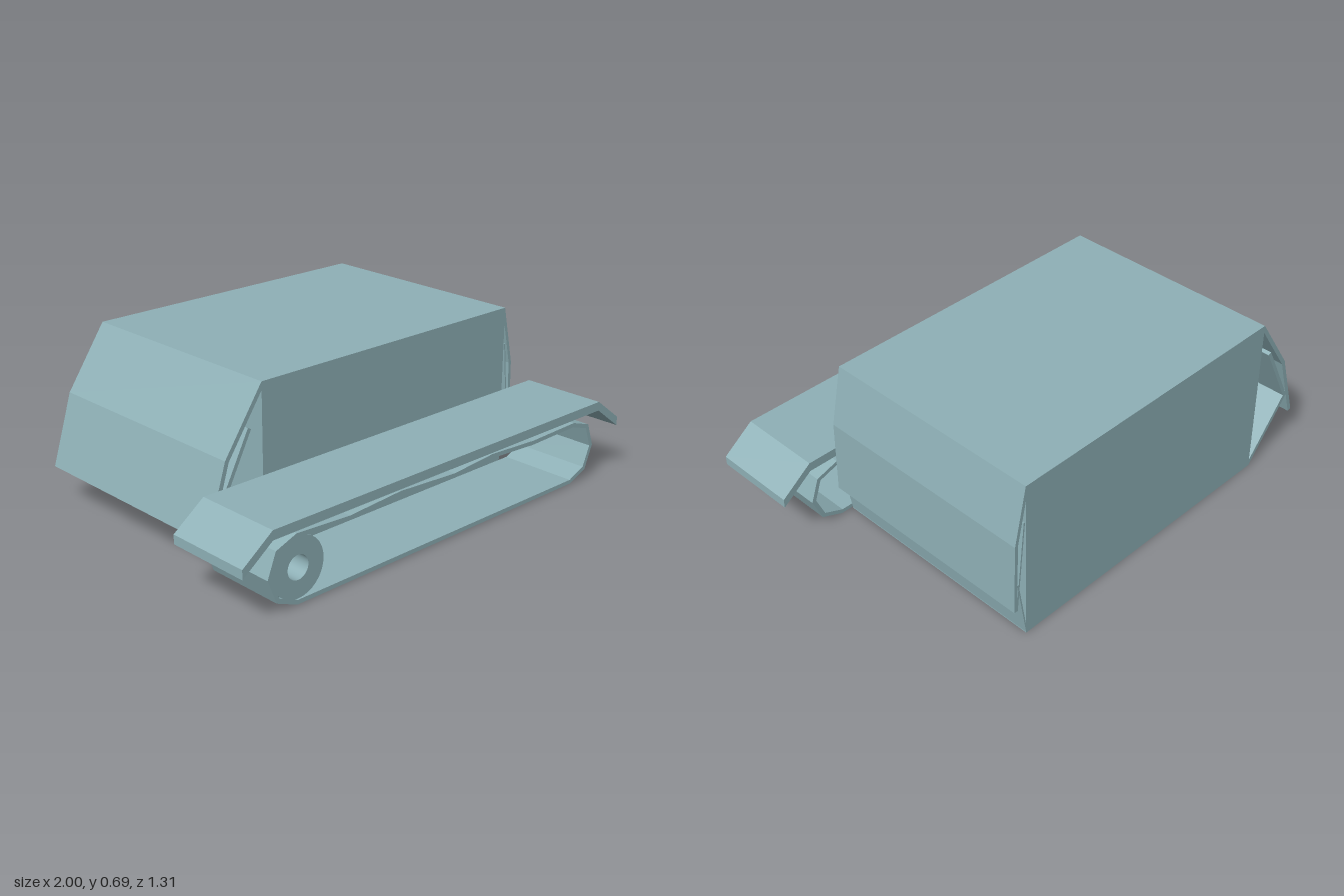
import * as THREE from 'three';
import { toCreasedNormals } from 'three/addons/utils/BufferGeometryUtils.js';

const HULL = [-0.655, 0.295]; // back and front of the hull
const TRACK = [0.297, 0.63];

// Mitred offset of a polyline; positive distance moves to its left-hand side.
function offset(points, d, closed) {
  const n = points.length;
  const normal = (a, b) => new THREE.Vector2(a.y - b.y, b.x - a.x).normalize();
  return points.map((p, i) => {
    const prev = closed || i > 0 ? normal(points[(i + n - 1) % n], p) : null;
    const next = closed || i < n - 1 ? normal(p, points[(i + 1) % n]) : null;
    const a = prev || next, b = next || prev;
    const m = a.clone().add(b).normalize();
    return p.clone().addScaledVector(m, d / m.dot(a));
  });
}

export function createModel() {
  const group = new THREE.Group();
  const material = new THREE.MeshStandardMaterial({ color: 0x8eb0b6, flatShading: false });

  function add(name, geometry) {
    const mesh = new THREE.Mesh(geometry, material);
    mesh.name = name;
    group.add(mesh);
  }
  const extrude = (shape, [z0, z1], curveSegments = 12) =>
    new THREE.ExtrudeGeometry(shape, { depth: z1 - z0, bevelEnabled: false, curveSegments })
      .translate(0, 0, z0);
  const vectors = (list) => list.map(([x, y]) => new THREE.Vector2(x, y));

  // Folded sheet along an open side profile
  function sheet(name, list, thickness, range) {
    const line = vectors(list);
    const shape = new THREE.Shape([...line, ...offset(line, thickness).reverse()]);
    add(name, extrude(shape, range));
  }

  // Hull block
  const [z0, z1] = HULL;
  add('hull', new THREE.BoxGeometry(1.29, 0.685, z1 - z0).translate(0.045, 0.3425, (z0 + z1) / 2));

  // Sloped armour at the -x end
  sheet('rightOuterPlate', [[-0.6, 0.685], [-0.77, 0.435], [-0.86, 0.15]], 0.018, HULL);
  sheet('rightInnerPlate', [[-0.665, 0.53], [-0.81, 0.25]], 0.016, HULL);
  sheet('rightLowerPlate', [[-0.82, 0.26], [-0.6, 0]], 0.018, HULL);

  // Steeper armour at the +x end
  sheet('leftOuterPlate', [[0.69, 0.685], [0.742, 0.445], [0.748, 0.14]], -0.014, HULL);
  sheet('leftInnerPlate', [[0.7, 0.53], [0.737, 0.14]], -0.006, HULL);
  sheet('leftLowerPlate', [[0.69, 0.005], [0.732, 0.26]], 0.006, HULL);

  // Mudguard over the track
  const guard = [[-1, 0.235], [-0.868, 0.333], [0.868, 0.333], [1, 0.235]];
  const underside = guard.map(([x, y]) => [x, y - 0.037]).reverse();
  add('mudguard', extrude(new THREE.Shape(vectors([...guard, ...underside])), [0.295, 0.655]));

  // Track loop, counter-clockwise, with a sagging top run
  const loop = vectors([
    [-0.743, 0.005], [0.743, 0.005], [0.835, 0.043], [0.875, 0.14], [0.84, 0.237], [0.743, 0.268],
    [0.49, 0.262], [0.25, 0.275], [0.037, 0.258], [-0.246, 0.274], [-0.497, 0.258], [-0.743, 0.272],
    [-0.835, 0.237], [-0.873, 0.14], [-0.835, 0.043],
  ]);
  const track = new THREE.Shape(loop);
  track.holes.push(new THREE.Path(offset(loop, 0.017, true)));
  add('track', extrude(track, TRACK));

  // Wheel with an axle bore
  const ring = new THREE.Shape().absarc(-0.738, 0.144, 0.117, 0, Math.PI * 2);
  ring.holes.push(new THREE.Path().absarc(-0.738, 0.144, 0.047, 0, Math.PI * 2));
  add('wheel', toCreasedNormals(extrude(ring, TRACK, 16), Math.PI / 5));

  return group;
}
